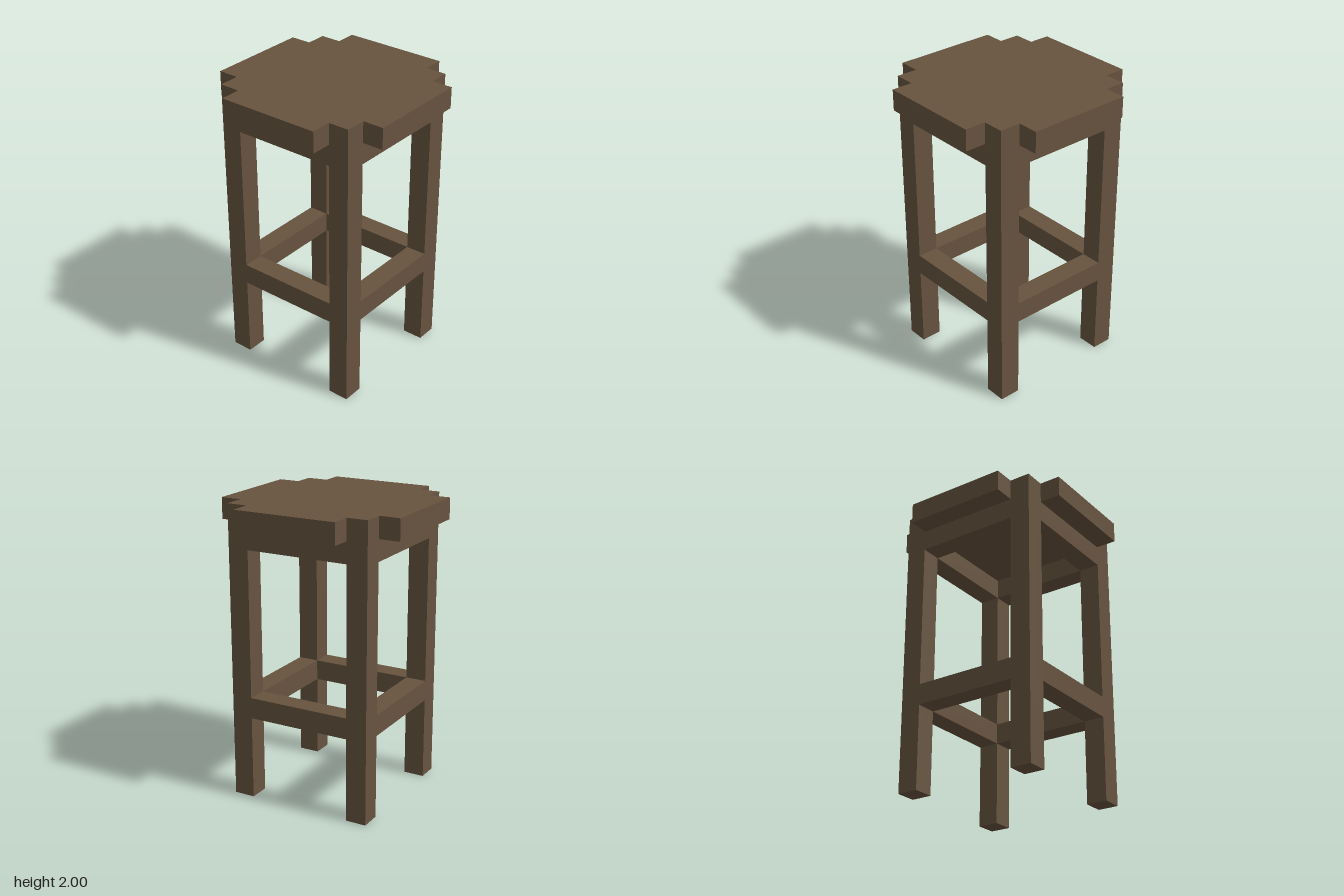
import * as THREE from 'three';

const U = 1 / 7; // one block of the grid the stool is built on

export function createModel() {
  const group = new THREE.Group();
  group.name = 'stool';
  const wood = new THREE.MeshStandardMaterial({ color: 0x67533f });
  wood.name = 'brown wood';

  const add = (name, geometry, x, y, z) => {
    const mesh = new THREE.Mesh(geometry, wood);
    mesh.name = name;
    mesh.position.set(x * U, y * U, z * U);
    group.add(mesh);
  };

  // seat: cross-shaped slab whose inner corners are filled by the leg tops
  const a = 2.5 * U, b = 4.5 * U;
  const outline = [
    [b, -a], [b, a], [a, a], [a, b], [-a, b], [-a, a],
    [-b, a], [-b, -a], [-a, -a], [-a, -b], [a, -b], [a, -a],
  ].map(([x, y]) => new THREE.Vector2(x, y));
  const seat = new THREE.ExtrudeGeometry(new THREE.Shape(outline), { depth: U, bevelEnabled: false });
  seat.rotateX(-Math.PI / 2);
  add('seat', seat, 0, 13, 0);

  // four legs running the full height
  const leg = new THREE.BoxGeometry(U, 14 * U, U);
  for (const [side, x] of [['Left', 3], ['Right', -3]]) {
    add('front' + side + 'Leg', leg, x, 7, 3);
    add('back' + side + 'Leg', leg, x, 7, -3);
  }

  // aprons under the seat and stretchers between the legs
  const railX = new THREE.BoxGeometry(5 * U, U, U);
  const railZ = new THREE.BoxGeometry(U, U, 5 * U);
  for (const [name, y] of [['Apron', 12.5], ['Stretcher', 4.5]]) {
    add('front' + name, railX, 0, y, 3);
    add('back' + name, railX, 0, y, -3);
    add('left' + name, railZ, 3, y, 0);
    add('right' + name, railZ, -3, y, 0);
  }
  return group;
}
